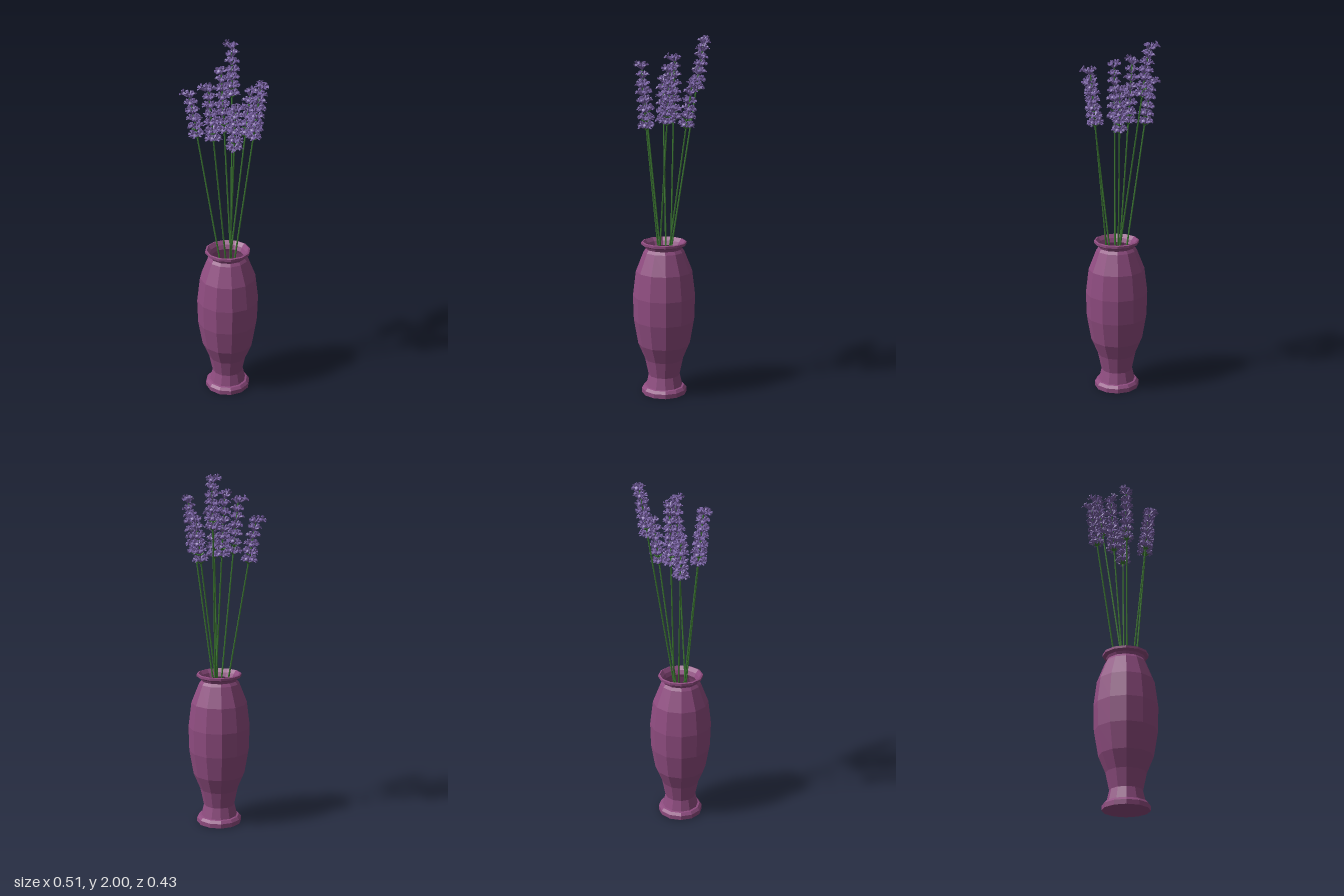
import * as THREE from 'three';
import { mergeGeometries } from 'three/addons/utils/BufferGeometryUtils.js';

const mat = (name, color, side = THREE.FrontSide) =>
  Object.assign(new THREE.MeshStandardMaterial({ color, flatShading: true, side }), { name });

const UP = new THREE.Vector3(0, 1, 0);

// Small seeded generator for natural variation
function seeded(seed) {
  let s = seed * 7919 + 17;
  return () => ((s = (s * 16807) % 2147483647) / 2147483647);
}

// One floret along +y: ribbed calyx opening into five blunt petals
function floretGeometry() {
  const parts = [];
  const calyx = new THREE.CylinderGeometry(0.0085, 0.004, 0.026, 5, 1);
  calyx.translate(0, 0.013, 0);
  parts.push(calyx.toNonIndexed());
  for (let i = 0; i < 5; i++) {
    const petal = new THREE.CylinderGeometry(0.0065, 0.0035, 0.015, 4, 1);
    petal.scale(1, 1, 0.45);
    petal.translate(0, 0.0075, 0);
    petal.rotateX(0.9);
    petal.translate(0, 0.024, 0.004);
    petal.rotateY((i / 5) * Math.PI * 2);
    parts.push(petal.toNonIndexed());
  }
  return mergeGeometries(parts);
}

// Place a copy of a geometry at height y, leaning outward by tilt toward angle
function place(geo, y, angle, tilt, size, offset = 0.003) {
  const g = geo.clone();
  g.scale(size, size, size);
  g.rotateX(tilt);
  g.translate(0, y, offset);
  g.rotateY(angle);
  return g;
}

function createVase(material) {
  // Outer wall from foot to rim, then down the inside to the floor
  const profile = [
    [0, 0], [0.127, 0], [0.127, 0.025], [0.114, 0.04], [0.103, 0.042], [0.088, 0.105],
    [0.108, 0.2], [0.146, 0.29], [0.17, 0.43], [0.174, 0.57], [0.157, 0.71],
    [0.113, 0.822], [0.101, 0.838], [0.108, 0.852], [0.126, 0.862], [0.126, 0.875],
    [0.117, 0.878], [0.1, 0.858], [0.09, 0.835], [0.1, 0.815], [0.143, 0.705],
    [0.158, 0.57], [0.154, 0.43], [0.13, 0.3], [0.09, 0.205], [0.07, 0.14], [0, 0.14],
  ].map(([r, y]) => new THREE.Vector2(r, y));
  const vase = new THREE.Mesh(new THREE.LatheGeometry(profile, 12), material);
  vase.name = 'vase';
  vase.position.set(0.018, 0, 0.048);
  return vase;
}

function createSprig({ foot, tip, baseY, sprout, seed }, floret, mats) {
  const rand = seeded(seed);
  const a = new THREE.Vector3(foot[0], 0.2, foot[1]);
  const b = new THREE.Vector3(...tip);
  const length = a.distanceTo(b);
  const start = length * (baseY - a.y) / (b.y - a.y);

  const sprig = new THREE.Group();
  sprig.name = 'lavenderSprig';
  sprig.position.copy(a);
  sprig.quaternion.setFromUnitVectors(UP, b.clone().sub(a).normalize());

  // Stem
  const stemGeo = new THREE.CylinderGeometry(0.004, 0.0052, length - 0.025, 6);
  stemGeo.translate(0, (length - 0.025) / 2, 0);
  const stem = new THREE.Mesh(stemGeo, mats.green);
  stem.name = 'stem';

  // Whorls of florets, thinning toward the tip
  const blooms = [];
  const spike = length - start;
  const whorls = Math.round(spike / 0.041);
  for (let w = 0; w < whorls; w++) {
    const t = w / (whorls - 1);
    const y = start + 0.004 + t * (spike - 0.036);
    const count = Math.round(7 - 3 * t);
    for (let i = 0; i < count; i++) {
      const angle = ((i + w * 0.5 + rand() * 0.35) / count) * Math.PI * 2;
      const tilt = 1.0 - 0.35 * t + (rand() - 0.5) * 0.35;
      blooms.push(place(floret, y + (rand() - 0.5) * 0.01, angle, tilt, 1.12 - 0.12 * t + rand() * 0.12));
    }
  }
  // Stray floret leaning out near the tip
  blooms.push(place(floret, length - 0.026, sprout, 0.85, 1.25, 0.014));
  const flowers = new THREE.Mesh(mergeGeometries(blooms), mats.lavender);
  flowers.name = 'flowerSpike';

  // Pointed green bracts cupping the lowest whorls
  const leaf = new THREE.ConeGeometry(0.009, 0.032, 4);
  leaf.scale(1, 1, 0.35);
  leaf.translate(0, 0.016, 0);
  const leaves = [];
  for (let w = 0; w < 2; w++)
    for (let i = 0; i < 6; i++)
      leaves.push(place(leaf, start - 0.006 + w * 0.041, ((i + w / 2) / 6) * Math.PI * 2, 1.0, 1));
  const bracts = new THREE.Mesh(mergeGeometries(leaves), mats.green);
  bracts.name = 'bracts';

  sprig.add(stem, flowers, bracts);
  return sprig;
}

export function createModel() {
  const model = new THREE.Group();
  model.name = 'lavenderVase';
  const plum = mat('plumGlaze', 0x8f4c80, THREE.DoubleSide);
  const mats = { lavender: mat('lavenderPetal', 0x7a62a6), green: mat('stemGreen', 0x3d7a33) };
  model.add(createVase(plum));

  // Foot is x, z inside the vase; tip is the top of each spike
  const floret = floretGeometry();
  [
    { foot: [0.07, 0.03], tip: [-0.205, 1.76, 0.04], baseY: 1.515, sprout: -1.6 },
    { foot: [0.06, 0.11], tip: [-0.045, 1.985, -0.175], baseY: 1.705, sprout: -1.9 },
    { foot: [-0.02, 0.1], tip: [0.09, 1.765, -0.1], baseY: 1.515, sprout: 3.1 },
    { foot: [0.06, 0.025], tip: [-0.045, 1.89, -0.015], baseY: 1.545, sprout: 0 },
    { foot: [-0.01, 0.105], tip: [0.195, 1.85, 0.025], baseY: 1.545, sprout: 0.8 },
    { foot: [0.05, 0.01], tip: [-0.045, 1.85, 0.165], baseY: 1.545, sprout: -1 },
    { foot: [0, 0.02], tip: [0.11, 1.765, 0.17], baseY: 1.515, sprout: 1.9 },
  ].forEach((s, i) => model.add(createSprig({ ...s, seed: i + 1 }, floret, mats)));
  return model;
}
